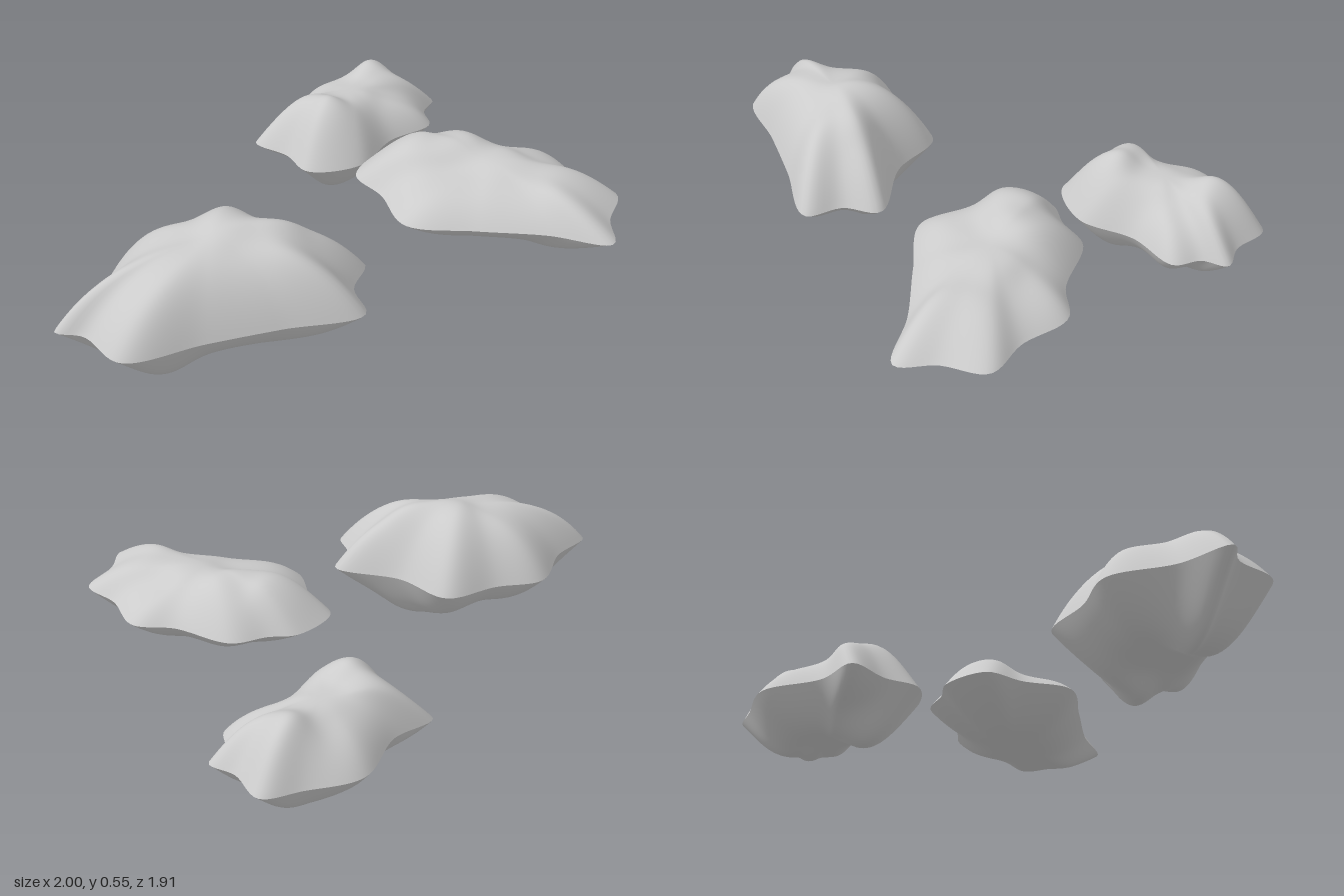
import * as THREE from 'three';
import { mergeVertices } from 'three/addons/utils/BufferGeometryUtils.js';

const SEGMENTS = 120, RINGS = 28;
const material = new THREE.MeshStandardMaterial({ color: 0xcccccc });

// Bulge falls from 1 at the middle to 0 at the rim
const bulge = (s) => 1 - s ** 3;

// One half of a rock: rings shrink from the rim to the centre and swell
// towards the height base, passing through the knobs [x, z, y]
function skin(name, rim, center, base, knobs) {
  const spokes = rim.map((p) => p.clone().sub(center));
  const level = center.y;

  // Undo the bulge at each knob so the skin reaches its height there
  const lifts = knobs.map(([x, z, y]) => {
    const offset = new THREE.Vector3(x, level, z).sub(center);
    const spoke = spokes.reduce((a, b) => (a.angleTo(offset) < b.angleTo(offset) ? a : b));
    const s = Math.min(offset.length() / spoke.length(), 0.88);
    return { x, z, lift: (y - level) / bulge(s) };
  });

  // Blend of the knobs by distance, fading to the base
  const liftAt = (x, z) => {
    let total = 700, sum = total * (base - level);
    for (const k of lifts) {
      const w = ((x - k.x) ** 2 + (z - k.z) ** 2 + 0.008) ** -2;
      sum += w * k.lift;
      total += w;
    }
    return sum / total;
  };

  const positions = [], index = [];
  for (let j = 0; j <= RINGS; j++) {
    const s = j / RINGS;
    for (const spoke of spokes) {
      const x = center.x + spoke.x * s, z = center.z + spoke.z * s;
      positions.push(x, level + bulge(s) * liftAt(x, z), z);
    }
  }
  for (let j = 0; j < RINGS; j++) {
    for (let i = 0; i < SEGMENTS; i++) {
      const a = j * SEGMENTS + i, b = j * SEGMENTS + ((i + 1) % SEGMENTS);
      const c = a + SEGMENTS, d = b + SEGMENTS;
      const faces = base > level ? [a, d, c, a, b, d] : [a, c, d, a, d, b];
      index.push(...(j === 0 ? faces.slice(0, 3) : faces));
    }
  }
  let geometry = new THREE.BufferGeometry();
  geometry.setAttribute('position', new THREE.Float32BufferAttribute(positions, 3));
  geometry.setIndex(index);
  geometry = mergeVertices(geometry, 1e-5);
  geometry.computeVertexNormals();
  const mesh = new THREE.Mesh(geometry, material);
  mesh.name = name;
  return mesh;
}

// Two skins that meet in a sharp rim, drawn as a smooth loop of [x, z]
function rock(name, [x, y, z], outline, upper, lower) {
  const curve = new THREE.CatmullRomCurve3(outline.map(([px, pz]) => new THREE.Vector3(px, y, pz)), true);
  const rim = curve.getSpacedPoints(SEGMENTS).slice(0, SEGMENTS);
  const center = new THREE.Vector3(x, y, z);
  const group = new THREE.Group();
  group.name = name;
  group.add(
    skin('upperSkin', rim, center, upper.base, upper.knobs),
    skin('lowerSkin', rim, center, lower.base, lower.knobs),
  );
  return group;
}

export function createModel() {
  const model = new THREE.Group();
  model.name = 'rocks';

  // Large rock with a tall hump
  model.add(rock('largeRock', [-0.47, 0.29, 0.6],
    [[-1, 0.78], [-0.88, 0.62], [-0.79, 0.39], [-0.6, 0.33], [-0.4, 0.23], [-0.22, 0.38], [0.045, 0.47],
      [0, 0.61], [0.03, 0.75], [-0.25, 0.81], [-0.5, 0.87], [-0.77, 0.945], [-0.9, 0.81]],
    { base: 0.52, knobs: [[-0.4, 0.53, 0.555], [-0.25, 0.53, 0.54], [-0.6, 0.6, 0.51], [-0.75, 0.72, 0.465],
      [-0.1, 0.5, 0.44], [-0.35, 0.7, 0.49]] },
    { base: 0.15, knobs: [[-0.72, 0.73, 0.09], [-0.28, 0.48, 0.09], [-0.5, 0.58, 0.14], [-0.15, 0.68, 0.17]] }));

  // Flat rock with a long low crest
  model.add(rock('flatRock', [0.52, 0.345, 0.12],
    [[0.045, 0], [0.16, -0.16], [0.27, -0.18], [0.4, -0.23], [0.62, -0.13], [0.78, -0.11], [0.88, 0.06],
      [1, 0.18], [0.94, 0.34], [0.92, 0.485], [0.7, 0.42], [0.45, 0.38], [0.2, 0.33], [0.13, 0.14]],
    { base: 0.46, knobs: [[0.4, -0.02, 0.5], [0.25, -0.07, 0.48], [0.6, 0.1, 0.485], [0.8, 0.26, 0.45],
      [0.4, 0.2, 0.44], [0.7, 0, 0.42], [0.6, 0.3, 0.43]] },
    { base: 0.24, knobs: [[0.4, 0.1, 0.21], [0.6, 0.15, 0.22], [0.8, 0.25, 0.235]] }));

  // Knobbly rock with feet underneath
  model.add(rock('knobblyRock', [0.05, 0.2, -0.6],
    [[-0.335, -0.475], [-0.2, -0.6], [-0.1, -0.83], [0.1, -0.91], [0.24, -0.955], [0.33, -0.83], [0.425, -0.77],
      [0.38, -0.68], [0.39, -0.57], [0.22, -0.46], [0.08, -0.28], [-0.13, -0.25], [-0.21, -0.37]],
    { base: 0.33, knobs: [[-0.07, -0.42, 0.41], [0.05, -0.58, 0.365], [0.2, -0.8, 0.38], [-0.05, -0.72, 0.31],
      [0.25, -0.58, 0.3]] },
    { base: 0.1, knobs: [[-0.05, -0.44, 0], [0.08, -0.58, 0.06], [0.14, -0.77, 0.03], [0.27, -0.72, 0.07],
      [-0.18, -0.48, 0.13]] }));

  return model;
}
